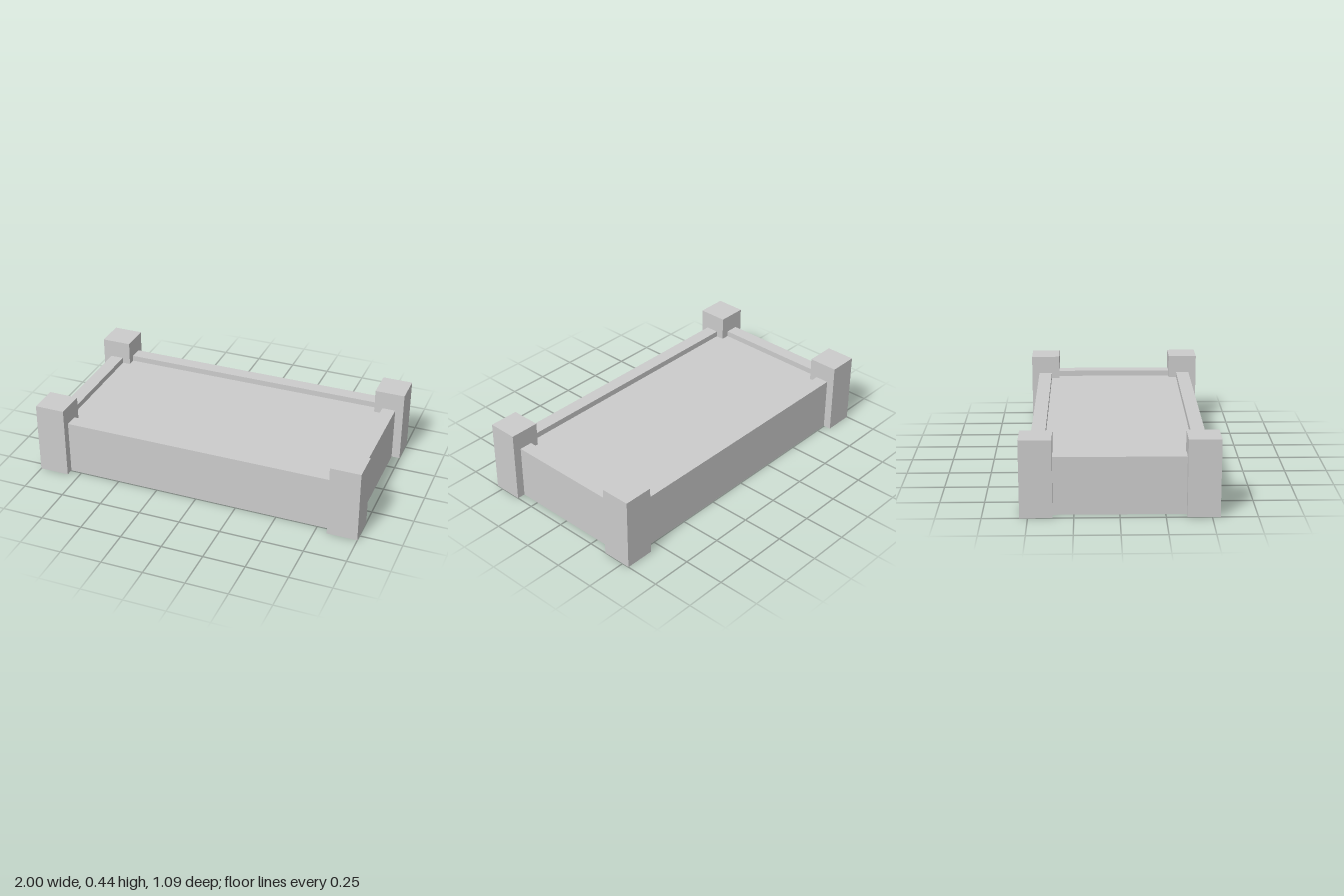
import * as THREE from 'three';

const material = new THREE.MeshStandardMaterial({
  color: 0xcccccc, flatShading: true, side: THREE.DoubleSide,
});

function addMesh(parent, name, geometry, x, y, z) {
  const mesh = new THREE.Mesh(geometry, material);
  mesh.name = name;
  mesh.position.set(x, y, z);
  parent.add(mesh);
  return mesh;
}

// Box with its underside left open
function openBox(w, h, d) {
  const geometry = new THREE.BoxGeometry(w, h, d);
  const index = Array.from(geometry.index.array);
  index.splice(18, 6);
  geometry.setIndex(index);
  geometry.clearGroups();
  return geometry;
}

// Thin wall facing +z: tall outer panel, flat rim and short inner lip
function makeWall(name, length, distance, thickness) {
  const top = 0.33, lipBottom = 0.28;
  const wall = new THREE.Group();
  wall.name = name;
  addMesh(wall, 'outerPanel', new THREE.PlaneGeometry(length, top), 0, top / 2, distance);
  addMesh(wall, 'rim', new THREE.PlaneGeometry(length, thickness).rotateX(-Math.PI / 2),
    0, top, distance - thickness / 2);
  addMesh(wall, 'innerLip', new THREE.PlaneGeometry(length, top - lipBottom).rotateY(Math.PI),
    0, (top + lipBottom) / 2, distance - thickness);
  return wall;
}

export function createModel() {
  const model = new THREE.Group();
  model.name = 'raisedBed';
  const post = 0.18, postHeight = 0.44, halfX = 1, halfZ = 0.545;

  // Corner posts
  for (const sx of [-1, 1]) for (const sz of [-1, 1]) {
    const name = (sz > 0 ? 'front' : 'back') + (sx > 0 ? 'Left' : 'Right') + 'Post';
    addMesh(model, name, openBox(post, postHeight, post),
      sx * (halfX - post / 2), postHeight / 2, sz * (halfZ - post / 2));
  }

  // Walls between the posts
  const longWall = 2 * (halfX - post), shortWall = 2 * (halfZ - post);
  ['frontWall', 'leftWall', 'backWall', 'rightWall'].forEach((name, i) => {
    const wall = i % 2 ? makeWall(name, shortWall, 0.95, 0.08) : makeWall(name, longWall, 0.497, 0.082);
    wall.rotation.y = i * Math.PI / 2;
    model.add(wall);
  });

  // Flat fill surface just below the rim
  addMesh(model, 'fillSurface', new THREE.PlaneGeometry(1.74, 0.83).rotateX(-Math.PI / 2), 0, 0.295, 0);

  return model;
}
